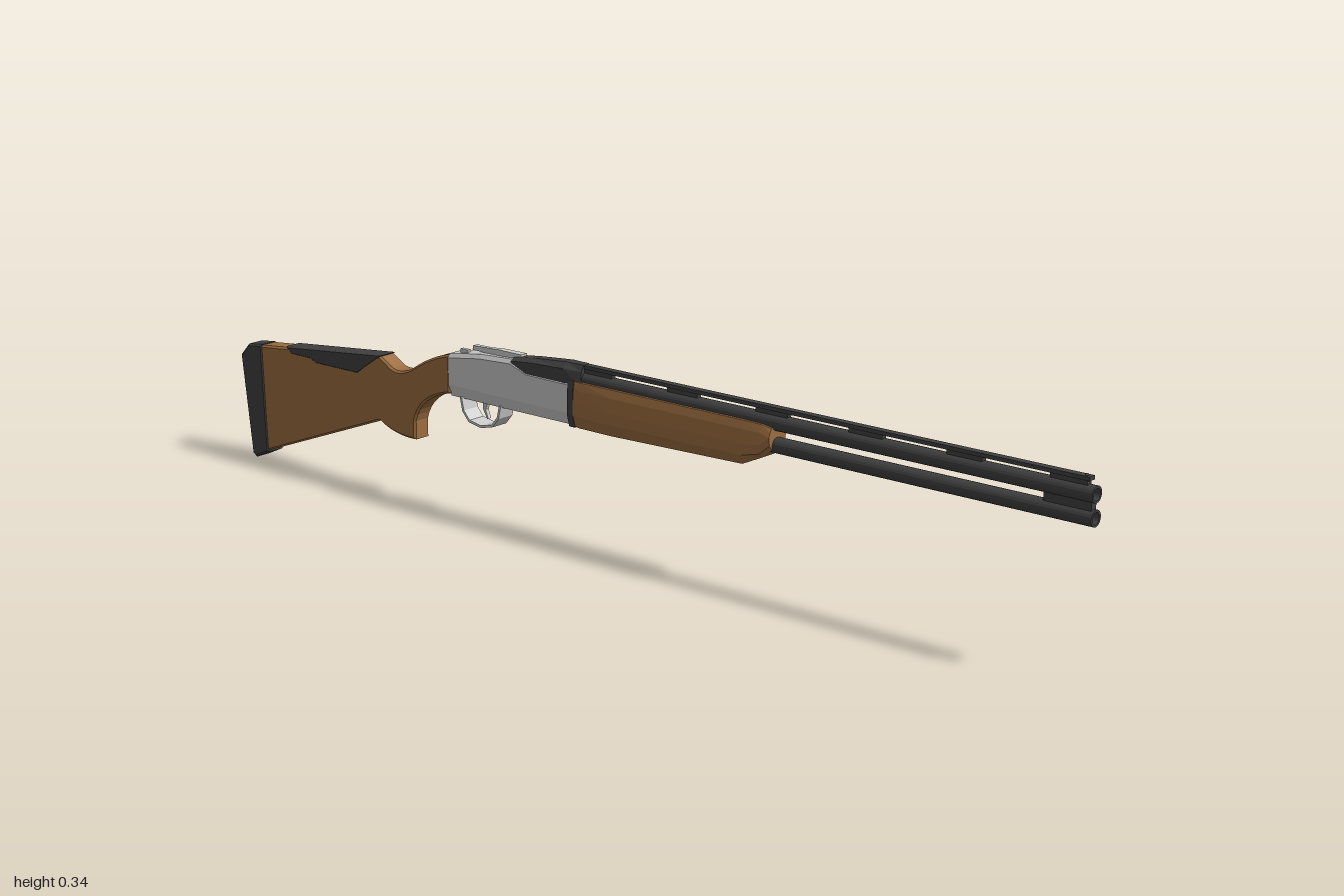
import * as THREE from 'three';

const mat = (color, flat = true) =>
  new THREE.MeshStandardMaterial({ color, flatShading: flat, roughness: 0.7 });
const wood = mat(0x9c6d40), black = mat(0x404040), metal = mat(0xcccccc);
const blackSmooth = mat(0x404040, false);

export function createModel() {
  const group = new THREE.Group();
  const add = (name, geo, material) => {
    const m = new THREE.Mesh(geo, material);
    m.name = name;
    group.add(m);
    return m;
  };

  // box from centre and size
  const box = (name, x, y, z, w, h, d, material) =>
    add(name, new THREE.BoxGeometry(w, h, d).translate(x, y, z), material);

  // skin over mirrored cross-sections; each station is [z, [[halfWidth, y] top to bottom]], front to back
  const loft = (name, stations, material) => {
    const pos = [], idx = [];
    const n = stations[0][1].length * 2;
    for (const [z, half] of stations) {
      for (const [x, y] of half) pos.push(x, y, z);
      for (const [x, y] of [...half].reverse()) pos.push(-x, y, z);
    }
    for (let i = 0; i < stations.length - 1; i++)
      for (let j = 0; j < n; j++) {
        const a = i * n + j, b = i * n + (j + 1) % n;
        idx.push(a, b, b + n, a, b + n, a + n);
      }
    const last = (stations.length - 1) * n;
    for (let j = 1; j < n - 1; j++) idx.push(0, j + 1, j, last, last + j, last + j + 1);
    const geo = new THREE.BufferGeometry();
    geo.setAttribute('position', new THREE.Float32BufferAttribute(pos, 3));
    geo.setIndex(idx);
    geo.computeVertexNormals();
    return add(name, geo, material);
  };

  // side profile (z, y) given thickness across x, with softened edges
  const slab = (name, shape, halfWidth, bevel, material) => {
    const geo = new THREE.ExtrudeGeometry(shape, {
      depth: 2 * (halfWidth - bevel), bevelEnabled: bevel > 0, bevelThickness: bevel,
      bevelSize: bevel, bevelOffset: -bevel, bevelSegments: 1, curveSegments: 8,
    });
    geo.translate(0, 0, -(halfWidth - bevel)).rotateY(-Math.PI / 2);
    return add(name, geo, material);
  };
  const poly = pts => new THREE.Shape(pts.map(p => new THREE.Vector2(...p)));

  // over-and-under barrels with open bores
  for (const [name, y] of [['upperBarrel', 0.313], ['lowerBarrel', 0.273]]) {
    const profile = [[0.0001, 0.85], [0.0105, 0.85], [0.0105, 1], [0.0145, 1], [0.0145, -0.2]]
      .map(p => new THREE.Vector2(...p)).reverse();
    const geo = new THREE.LatheGeometry(profile, 20).rotateX(Math.PI / 2).translate(0, y, 0);
    const m = add(name, geo, mat(0x404040));
    m.material.side = THREE.DoubleSide;
  }
  box('muzzleBridge', 0, 0.293, 0.95, 0.014, 0.02, 0.09, black);

  // ventilated sighting rib on posts
  box('rib', 0, 0.338, 0.43, 0.015, 0.007, 1.12, black);
  for (let i = 0; i < 6; i++)
    box('ribPost', 0, 0.33, 0.95 - i * 0.2, 0.011, 0.012, 0.07, black);
  add('frontBead', new THREE.SphereGeometry(0.003, 8, 6).translate(0, 0.342, 0.98), blackSmooth);

  // wooden forend, tapered at the nose
  loft('forend', [
    [0.36, [[0.017, 0.306], [0.021, 0.298], [0.024, 0.29], [0.022, 0.275], [0.015, 0.268]]],
    [0.34, [[0.019, 0.31], [0.024, 0.296], [0.028, 0.275], [0.027, 0.258], [0.018, 0.25]]],
    [0.30, [[0.02, 0.311], [0.025, 0.296], [0.03, 0.27], [0.03, 0.25], [0.021, 0.232]]],
    [0.00, [[0.02, 0.311], [0.025, 0.296], [0.03, 0.27], [0.03, 0.248], [0.021, 0.225]]],
    [-0.08, [[0.02, 0.311], [0.024, 0.296], [0.028, 0.27], [0.028, 0.248], [0.02, 0.225]]],
    [-0.10, [[0.02, 0.311], [0.022, 0.296], [0.023, 0.27], [0.023, 0.248], [0.018, 0.228]]],
  ], wood);
  const collar = [[0.021, 0.312], [0.0245, 0.296], [0.0255, 0.27], [0.0255, 0.248], [0.019, 0.224]];
  loft('forendIron', [[-0.092, collar], [-0.106, collar]], black);

  // receiver with chamfered belly
  const section = (top, w) => [[w - 0.006, top], [w, top - 0.008], [w, 0.25], [w - 0.008, 0.227]];
  loft('receiver', [
    [-0.10, section(0.311, 0.0225)], [-0.21, section(0.312, 0.0225)],
    [-0.25, section(0.326, 0.0225)], [-0.33, section(0.322, 0.022)],
    [-0.412, section(0.31, 0.0205)],
  ], metal);

  // dark breech block, sloping down into the receiver
  loft('breechBlock', [
    [-0.08, [[0.008, 0.342], [0.014, 0.33], [0.019, 0.305]]],
    [-0.12, [[0.01, 0.342], [0.0205, 0.331], [0.0215, 0.305]]],
    [-0.20, [[0.01, 0.335], [0.0205, 0.328], [0.0215, 0.305]]],
    [-0.25, [[0.01, 0.329], [0.0205, 0.323], [0.0215, 0.308]]],
  ], black);

  // opening lever and safety catch
  loft('topLever', [
    [-0.235, [[0.008, 0.335], [0.01, 0.32]]],
    [-0.29, [[0.007, 0.335], [0.009, 0.32]]],
    [-0.32, [[0.004, 0.333], [0.005, 0.322]]],
    [-0.36, [[0.006, 0.332], [0.007, 0.324]]],
  ], metal);
  box('safetyCatch', 0, 0.315, -0.385, 0.008, 0.01, 0.02, metal);

  // trigger guard loop and trigger
  const guardPts = (s, lift) => [[-0.278, 0.23], [-0.284, 0.205], [-0.3, 0.186], [-0.33, 0.179],
    [-0.362, 0.185], [-0.378, 0.203], [-0.384, 0.23]]
    .map(([z, y]) => [-0.331 + (z + 0.331) * s, y + lift * (0.23 - y)]);
  slab('triggerGuard', poly([...guardPts(1, 0), ...guardPts(0.91, 0.09).reverse()]), 0.019, 0, metal);
  slab('trigger', poly([[-0.325, 0.23], [-0.338, 0.23], [-0.338, 0.212], [-0.328, 0.194],
    [-0.325, 0.195], [-0.331, 0.212]]), 0.004, 0, metal);

  // wooden stock with curved wrist and pistol grip
  const stock = new THREE.Shape();
  stock.moveTo(-0.41, 0.308);
  stock.quadraticCurveTo(-0.455, 0.3, -0.512, 0.263);
  stock.quadraticCurveTo(-0.55, 0.244, -0.572, 0.259);
  stock.lineTo(-0.597, 0.274);
  stock.lineTo(-0.94, 0.239);
  stock.lineTo(-0.93, 0.02);
  stock.lineTo(-0.602, 0.143);
  stock.quadraticCurveTo(-0.56, 0.12, -0.505, 0.123);
  stock.lineTo(-0.505, 0.16);
  stock.quadraticCurveTo(-0.49, 0.215, -0.41, 0.232);
  slab('stock', stock, 0.02, 0.004, wood);

  // adjustable cheek comb
  slab('comb', poly([[-0.592, 0.276], [-0.66, 0.227], [-0.78, 0.227], [-0.795, 0.234],
    [-0.85, 0.234], [-0.865, 0.249]]), 0.021, 0.004, black);

  // recoil pad
  slab('buttPad', poly([[-0.936, 0.241], [-0.976, 0.236], [-1, 0.21], [-0.975, 0.006],
    [-0.965, 0], [-0.926, 0.018]]), 0.021, 0.004, black);

  return group;
}
